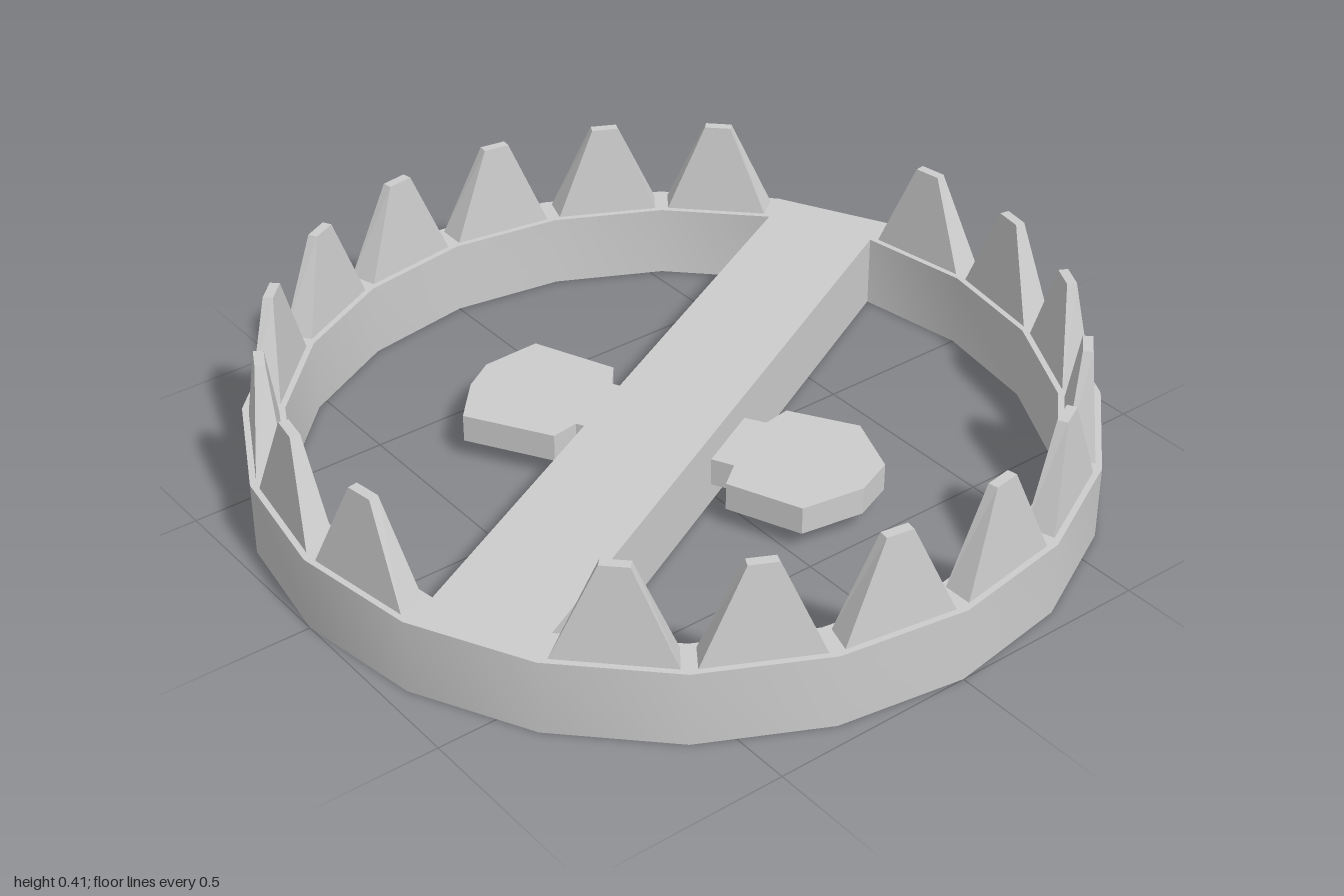
import * as THREE from 'three';
import { toCreasedNormals } from 'three/addons/utils/BufferGeometryUtils.js';

const SIDES = 20, OUTER = 1, INNER = 0.9, RING_TOP = 0.185, TOOTH_TOP = 0.415;
const smooth = new THREE.MeshStandardMaterial({ color: 0xcccccc });
const flat = new THREE.MeshStandardMaterial({ color: 0xcccccc, flatShading: true });

function addMesh(parent, name, geometry, material) {
  const mesh = new THREE.Mesh(geometry, material);
  mesh.name = name;
  parent.add(mesh);
  return mesh;
}

// Upright slab from a plan outline of [x, z] points
function slab(outline, bottom, top) {
  const shape = new THREE.Shape(outline.map(([x, z]) => new THREE.Vector2(x, z)));
  return new THREE.ExtrudeGeometry(shape, { depth: top - bottom, bevelEnabled: false })
    .rotateX(Math.PI / 2)
    .translate(0, top, 0);
}

// Wedge tooth: a box whose base follows the ring segment and whose tip is narrow
function toothGeometry() {
  const geometry = new THREE.BoxGeometry(2, 1, 2);
  const p = geometry.attributes.position;
  for (let i = 0; i < p.count; i++) {
    const sx = Math.sign(p.getX(i)), sz = Math.sign(p.getZ(i));
    if (p.getY(i) > 0) p.setXYZ(i, sx * 0.033, TOOTH_TOP, sz * 0.012);
    else p.setXYZ(i, sx * (0.132 + sz * 0.005), RING_TOP - 0.002, sz * 0.035);
  }
  return geometry;
}

export function createModel() {
  const model = new THREE.Group();
  model.name = 'jawTrap';

  // Twenty-sided ring with smooth walls and sharp rims
  const profile = [[INNER, 0], [OUTER, 0], [OUTER, RING_TOP], [INNER, RING_TOP], [INNER, 0]]
    .map(([r, y]) => new THREE.Vector2(r, y));
  addMesh(model, 'ring', toCreasedNormals(new THREE.LatheGeometry(profile, SIDES), Math.PI / 6), smooth);

  // Cross bar joining two opposite ring segments
  const step = (Math.PI * 2) / SIDES;
  const barCorners = [6, 7, 16, 17].map((k) => [INNER * Math.sin(k * step), INNER * Math.cos(k * step)]);
  addMesh(model, 'crossBar', slab(barCorners, 0, RING_TOP), flat);

  // Teeth on every segment except the two at the bar ends
  const teeth = new THREE.Group();
  teeth.name = 'teeth';
  model.add(teeth);
  const tooth = toothGeometry();
  const radius = ((OUTER + INNER) / 2) * Math.cos(step / 2);
  for (let k = 0; k < SIDES; k++) {
    if (k % 10 === 6) continue;
    const angle = (k + 0.5) * step;
    const mesh = addMesh(teeth, 'tooth', tooth, flat);
    mesh.position.set(radius * Math.sin(angle), 0, radius * Math.cos(angle));
    mesh.rotation.y = angle;
  }

  // Trigger plates, their stems running into the bar
  const frontPlate = [[0.08, -0.03], [0.175, 0.13], [0.245, 0.12], [0.34, 0.275], [0.28, 0.43],
    [0.18, 0.47], [0.02, 0.445], [-0.055, 0.265], [0.005, 0.22], [-0.08, 0.05]];
  const backPlate = [[0.08, -0.05], [-0.01, -0.225], [0.035, -0.28], [-0.05, -0.485], [-0.2, -0.48],
    [-0.28, -0.43], [-0.37, -0.33], [-0.25, -0.13], [-0.18, -0.14], [-0.08, 0.04]];
  addMesh(model, 'frontTriggerPlate', slab(frontPlate, 0.05, 0.12), flat);
  addMesh(model, 'backTriggerPlate', slab(backPlate, 0.05, 0.12), flat);

  return model;
}
